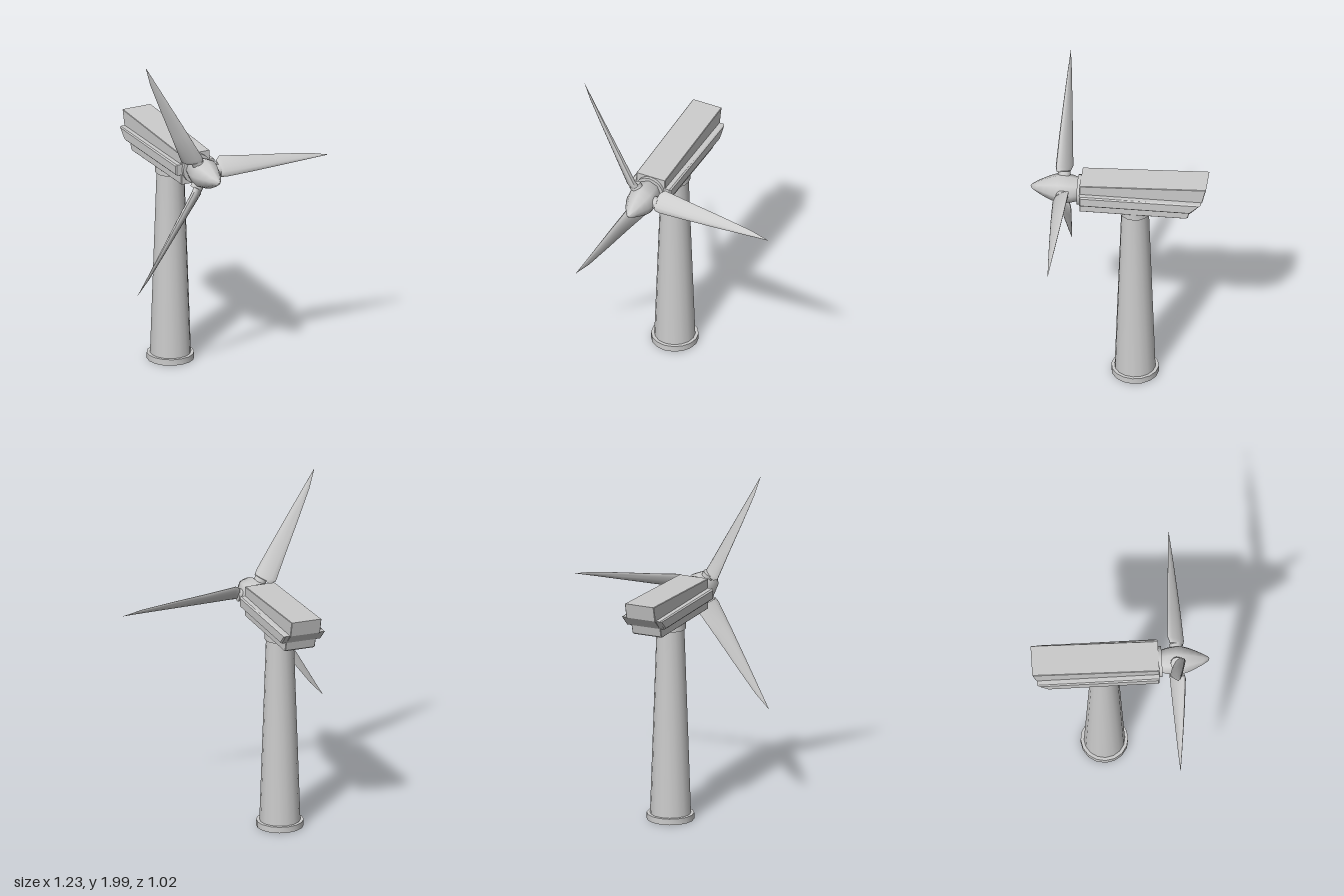
import * as THREE from 'three';
import { toCreasedNormals } from 'three/addons/utils/BufferGeometryUtils.js';

const AXIS_X = -0.191, HUB_Y = 1.278, HUB_Z = 0.32, TOWER_Z = -0.095;

export function createModel() {
  const root = new THREE.Group();
  root.name = 'windTurbine';
  const grey = new THREE.MeshStandardMaterial({ color: 0xcccccc });

  const add = (parent, name, geometry, x = 0, y = 0, z = 0) => {
    const mesh = new THREE.Mesh(geometry, grey);
    mesh.name = name;
    mesh.position.set(x, y, z);
    parent.add(mesh);
    return mesh;
  };
  const lathe = (points, sides) => new THREE.LatheGeometry(
    points.map(([r, y]) => new THREE.Vector2(r, y)), sides);

  // Tower: wide foot, tapered shaft and top collar
  const tower = lathe([
    [0, 0], [0.137, 0], [0.137, 0.036], [0.118, 0.036],
    [0.08, 1.146], [0.089, 1.146], [0.089, 1.187], [0, 1.187],
  ], 16);
  add(root, 'tower', toCreasedNormals(tower, 0.6), AXIS_X, 0, TOWER_Z);

  // Nacelle: side outlines in (z, y), extruded across x with small bevels
  const slab = (outline, width, bevel) => {
    const shape = new THREE.Shape(outline.map(([z, y]) => new THREE.Vector2(z, y)));
    const g = new THREE.ExtrudeGeometry(shape, {
      depth: width - 2 * bevel, bevelEnabled: true, bevelSize: bevel,
      bevelThickness: bevel, bevelOffset: -bevel, bevelSegments: 1,
    });
    g.translate(0, 0, bevel - width / 2);
    g.rotateY(-Math.PI / 2);
    return toCreasedNormals(g, 0.4);
  };
  const nacelle = new THREE.Group();
  nacelle.name = 'nacelle';
  nacelle.position.x = AXIS_X;
  root.add(nacelle);
  add(nacelle, 'nacelleBody', slab([
    [0.217, 1.186], [0.217, 1.367], [-0.515, 1.4], [-0.493, 1.31],
    [-0.425, 1.247], [-0.41, 1.194], [-0.398, 1.186],
  ], 0.184, 0.003));
  add(nacelle, 'nacelleSideRails', slab([
    [0.217, 1.246], [0.217, 1.311], [-0.488, 1.311], [-0.425, 1.246],
  ], 0.253, 0.008));

  // Rotor: flange, pointed spinner and three blades around the hub
  const rotor = new THREE.Group();
  rotor.name = 'rotor';
  rotor.position.set(AXIS_X, HUB_Y, HUB_Z);
  root.add(rotor);
  const flange = new THREE.CylinderGeometry(0.089, 0.089, 0.03, 16).rotateX(Math.PI / 2);
  add(rotor, 'rotorFlange', toCreasedNormals(flange, 0.6), 0, -0.002, -0.1);
  const spinner = lathe([
    [0, -0.088], [0.07, -0.088], [0.081, -0.05], [0.088, 0], [0.086, 0.03],
    [0.073, 0.07], [0.055, 0.11], [0.033, 0.152], [0.014, 0.181], [0, 0.19],
  ], 8).rotateX(Math.PI / 2);
  add(rotor, 'spinner', toCreasedNormals(spinner, 0.95));

  const blade = bladeGeometry();
  const socket = toCreasedNormals(
    new THREE.CylinderGeometry(0.036, 0.036, 0.06, 12).rotateZ(-Math.PI / 2), 0.6);
  for (let i = 0; i < 3; i++) {
    const arm = new THREE.Group();
    arm.name = 'bladeArm';
    arm.rotation.z = i * Math.PI * 2 / 3;
    rotor.add(arm);
    add(arm, 'bladeSocket', socket, 0.07, 0, 0);
    add(arm, 'blade', blade);
  }
  return root;
}

// Blade along +x: a pitched airfoil section that narrows to a point
function bladeGeometry() {
  // [distance, lead y, lead z, trail y, trail z, half thickness]
  const sections = [
    [0.094, -0.028, 0.037, 0.05, -0.032, 0.026],
    [0.122, -0.03, 0.045, 0.07, -0.044, 0.026],
    [0.3, -0.031, 0.036, 0.046, -0.034, 0.021],
    [0.5, -0.031, 0.023, 0.022, -0.022, 0.014],
    [0.69, -0.031, 0.009, -0.003, -0.01, 0.006],
    [0.804, -0.031, 0, -0.03, -0.001, 0.0005],
  ];
  const N = 14, pos = [], index = [];
  for (const [u, ly, lz, ty, tz, t] of sections) {
    const hy = (ty - ly) / 2, hz = (tz - lz) / 2, len = Math.hypot(hy, hz);
    for (let j = 0; j < N; j++) {
      const a = j / N * Math.PI * 2, c = Math.cos(a);
      const s = Math.sin(a) * t * (0.8 - 0.3 * c);
      pos.push(u, (ly + ty) / 2 + hy * c - hz / len * s, (lz + tz) / 2 + hz * c + hy / len * s);
    }
  }
  for (let i = 0; i < sections.length - 1; i++) {
    for (let j = 0; j < N; j++) {
      const a = i * N + j, b = i * N + (j + 1) % N;
      index.push(a, b, a + N, b, b + N, a + N);
    }
  }
  // Close both ends
  const last = (sections.length - 1) * N;
  for (let j = 1; j < N - 1; j++) {
    index.push(0, j + 1, j, last, last + j, last + j + 1);
  }
  const g = new THREE.BufferGeometry();
  g.setAttribute('position', new THREE.Float32BufferAttribute(pos, 3));
  g.setIndex(index);
  return toCreasedNormals(g, 0.9);
}
